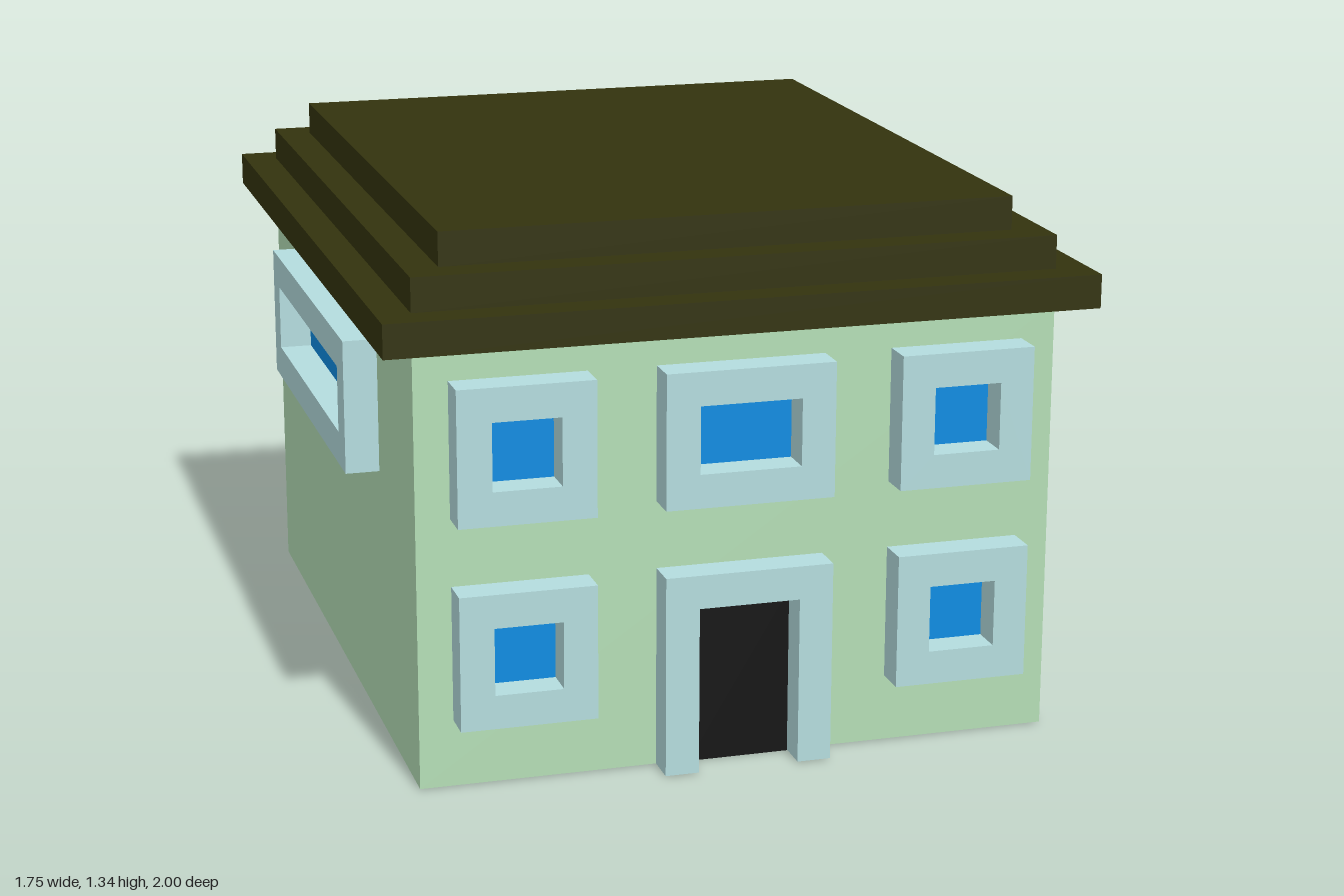
import * as THREE from 'three';

const U = 1 / 12; // building module: frame thickness, roof step, wall inset

const mat = (color) => new THREE.MeshStandardMaterial({ color, flatShading: true });

export function createModel() {
  const house = new THREE.Group();
  house.name = 'house';
  const wallMat = mat(0xb4deb6);
  const frameMat = mat(0xb4dcde);
  const glassMat = mat(0x0d8ce2);
  const doorMat = mat(0x151515);
  const roofMat = mat(0x33330e);

  function box(name, w, h, d, x, y, z, material, parent = house) {
    const mesh = new THREE.Mesh(new THREE.BoxGeometry(w, h, d), material);
    mesh.name = name;
    mesh.position.set(x, y, z);
    parent.add(mesh);
    return mesh;
  }

  // Rectangular outline, centred on x, standing on y0
  const rect = (Type, w, y0, y1) => new Type([
    [-w / 2, y0], [w / 2, y0], [w / 2, y1], [-w / 2, y1],
  ].map(([x, y]) => new THREE.Vector2(x, y)));

  function frame(name, shape, parent) {
    const geometry = new THREE.ExtrudeGeometry(shape, { depth: U, bevelEnabled: false });
    const mesh = new THREE.Mesh(geometry, frameMat);
    mesh.name = name;
    parent.add(mesh);
  }

  // Raised frame around a pane lying in the wall plane; local +z faces outward
  function makeWindow(name, w, h) {
    const group = new THREE.Group();
    group.name = name;
    const shape = rect(THREE.Shape, w, -h / 2, h / 2);
    shape.holes.push(rect(THREE.Path, w - 2 * U, -h / 2 + U, h / 2 - U));
    frame('windowFrame', shape, group);
    box('windowPane', w - 2 * U, h - 2 * U, U, 0, 0, -U / 2 + 0.002, glassMat, group);
    house.add(group);
    return group;
  }

  // Walls
  box('walls', 19 * U, 13 * U, 22 * U, 0, 6.5 * U, 0, wallMat);

  // Stepped roof
  for (let i = 0; i < 3; i++) {
    box('roofStep' + (i + 1), (21 - 2 * i) * U, U, (24 - 2 * i) * U, 0, (13.5 + i) * U, 0, roofMat);
  }

  // Front windows: two storeys at the sides, a wider one over the door
  for (const side of [-1, 1]) {
    for (const y of [4, 10]) {
      makeWindow('frontWindow', 4 * U, 4 * U).position.set(side * 6.5 * U, y * U, 11 * U);
    }
  }
  makeWindow('middleWindow', 5 * U, 4 * U).position.set(0, 10 * U, 11 * U);

  // Long window on each side wall
  for (const side of [-1, 1]) {
    const sideWindow = makeWindow('sideWindow', 12 * U, 4 * U);
    sideWindow.position.set(side * 9.5 * U, 10 * U, 0);
    sideWindow.rotation.y = side * Math.PI / 2;
  }

  // Doorway: surround open at the bottom, door set into the wall
  const doorway = new THREE.Group();
  doorway.name = 'doorway';
  doorway.position.z = 11 * U;
  const arch = new THREE.Shape([
    [-2.5, 0], [-1.5, 0], [-1.5, 5], [1.5, 5], [1.5, 0], [2.5, 0], [2.5, 6], [-2.5, 6],
  ].map(([x, y]) => new THREE.Vector2(x * U, y * U)));
  frame('doorFrame', arch, doorway);
  box('door', 3 * U, 5 * U, U, 0, 2.5 * U - 0.002, -U / 2 + 0.002, doorMat, doorway);
  house.add(doorway);

  return house;
}
